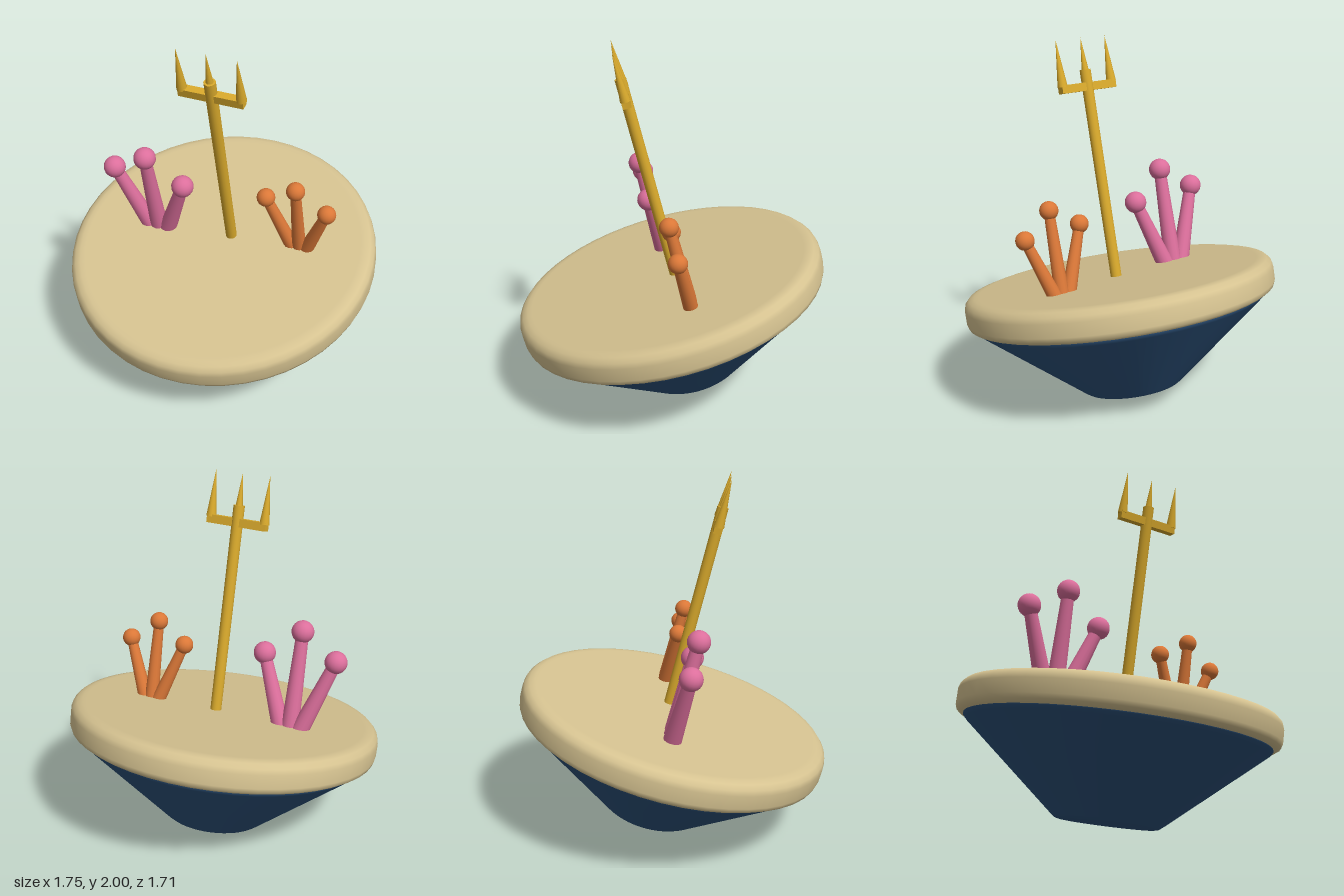
import * as THREE from 'three';

const mat = (name, color) => {
  const m = new THREE.MeshStandardMaterial({ color });
  m.name = name;
  return m;
};

export function createModel() {
  const sand = mat('sand', 0xd6c391);
  const navy = mat('navy blue', 0x2b5078);
  const gold = mat('gold', 0xd8a92c);
  const pink = mat('coral pink', 0xdc6f9c);
  const orange = mat('coral orange', 0xdb7838);

  const model = new THREE.Group();
  model.name = 'tiltedIsland';

  // Everything is built upright on a base at y = 0, then leaned forward
  const tilt = new THREE.Group();
  tilt.name = 'tiltedBody';
  tilt.position.set(0, 0.07, -0.14);
  tilt.rotation.x = 0.25;
  model.add(tilt);

  const add = (parent, name, geometry, material, x = 0, y = 0, z = 0) => {
    const mesh = new THREE.Mesh(geometry, material);
    mesh.name = name;
    mesh.position.set(x, y, z);
    parent.add(mesh);
    return mesh;
  };
  const lathe = (pts) => new THREE.LatheGeometry(pts.map(([r, y]) => new THREE.Vector2(r, y)), 48);

  // Conical hull and the rounded sand slab on top of it
  add(tilt, 'hull', lathe([[0, 0], [0.255, 0], [0.275, 0.004], [0.295, 0.018],
    [0.815, 0.455], [0.83, 0.472], [0.83, 0.482]]), navy);
  const deck = 0.65;
  add(tilt, 'sandDeck', lathe([[0, 0.477], [0.82, 0.477], [0.845, 0.48], [0.867, 0.495], [0.875, 0.52],
    [0.875, 0.592], [0.867, 0.62], [0.845, 0.642], [0.815, deck], [0.79, deck], [0, deck]]), sand);

  // Trident
  const trident = new THREE.Group();
  trident.name = 'trident';
  trident.position.set(0.042, 0, -0.05);
  tilt.add(trident);
  add(trident, 'shaft', new THREE.CylinderGeometry(0.031, 0.031, 1.17, 16), gold, 0, 1.22, 0);
  add(trident, 'crossbar', new THREE.BoxGeometry(0.352, 0.045, 0.045), gold, 0, 1.713, 0);
  for (const x of [-0.16, 0, 0.16]) {
    add(trident, 'prong', new THREE.ConeGeometry(0.028, 0.255, 12), gold, x, 1.853, 0);
  }

  // Coral: three tapered stalks fanning out, each with a ball at the tip
  const coral = (name, material, x, z, rBase, rTip, rBall, stalks) => {
    const group = new THREE.Group();
    group.name = name;
    group.position.set(x, deck, z);
    tilt.add(group);
    for (const [baseX, tipX, tipY] of stalks) {
      const a = new THREE.Vector3(baseX, -0.01, 0);
      const b = new THREE.Vector3(tipX, tipY, 0);
      const d = b.clone().sub(a);
      const stalk = add(group, 'coralStalk', new THREE.CylinderGeometry(rTip, rBase, d.length(), 14), material);
      stalk.position.copy(a).addScaledVector(d, 0.5);
      stalk.quaternion.setFromUnitVectors(new THREE.Vector3(0, 1, 0), d.normalize());
      add(group, 'coralTip', new THREE.SphereGeometry(rBall, 20, 14), material, tipX, tipY, 0);
    }
  };
  coral('pinkCoral', pink, -0.4, -0.006, 0.05, 0.034, 0.062,
    [[-0.06, -0.21, 0.406], [0, 0, 0.535], [0.06, 0.205, 0.376]]);
  coral('orangeCoral', orange, 0.435, -0.098, 0.04, 0.028, 0.051,
    [[-0.045, -0.175, 0.341], [0, 0, 0.445], [0.045, 0.17, 0.316]]);

  return model;
}
